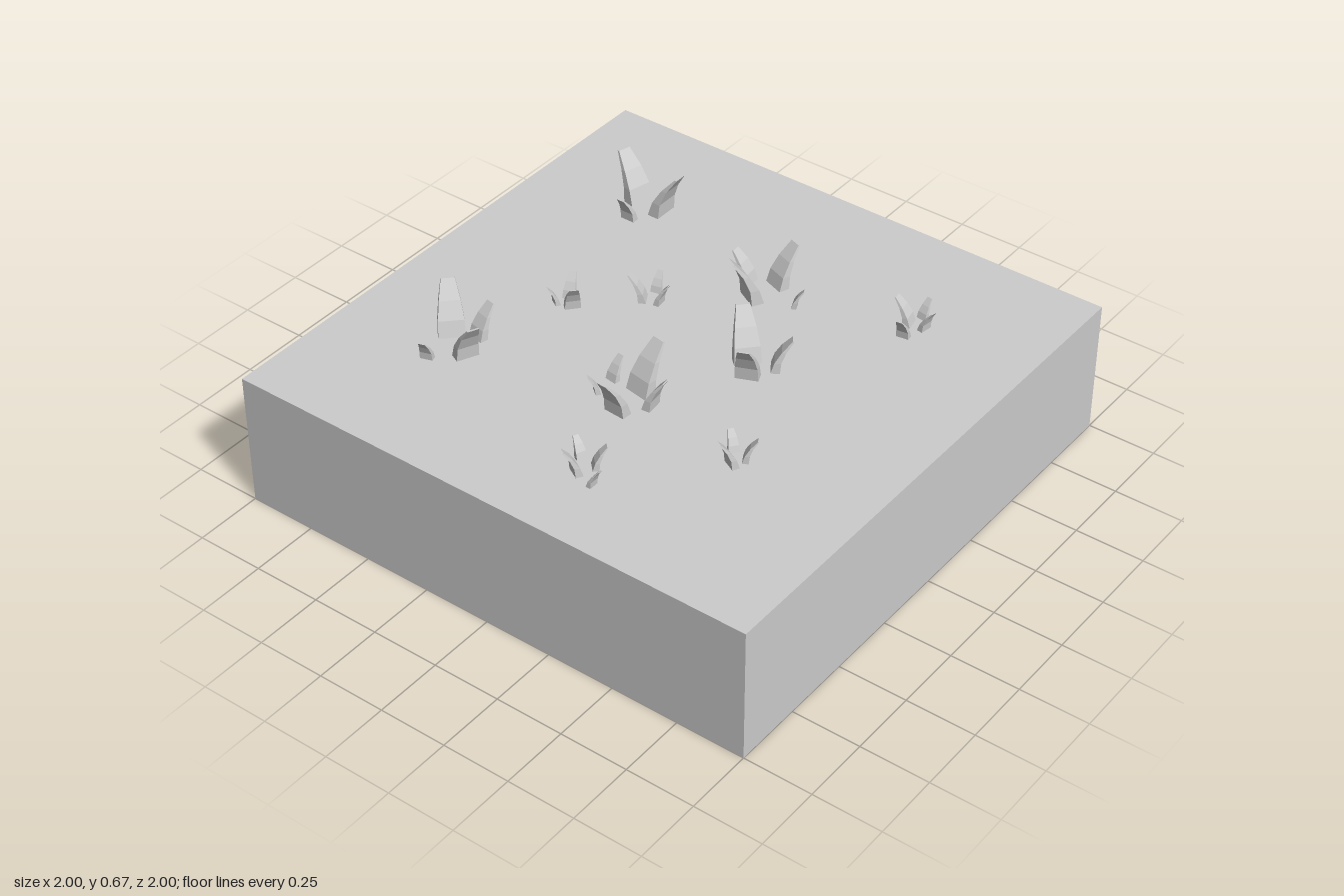
import * as THREE from 'three';

const TOP = 0.5;

// Blades sorted by size; each is [x, z, heading in degrees from +z towards +x]
const BLADES = [
  { name: 'tallBlade', height: 0.17, spots: [[-0.41, -0.62, 135], [0.575, -0.61, 166], [0.565, -0.505, 0],
    [-0.28, 0.06, 80], [0.345, 0.045, -119], [0.055, 0.235, 137]] },
  { name: 'largeBlade', height: 0.147, spots: [[-0.47, -0.51, -25], [-0.405, 0.065, -94],
    [0.455, 0.07, 70], [-0.01, 0.285, -67]] },
  { name: 'mediumBlade', height: 0.118, spots: [[-0.37, -0.54, 77], [-0.32, 0.13, 6],
    [0.41, -0.015, -174], [0.08, 0.33, 34]] },
  { name: 'smallBlade', height: 0.1, spots: [[0.465, -0.565, -90], [-0.055, -0.4, -41], [0.12, -0.24, -150],
    [-0.72, 0.15, -120], [-0.4, 0.51, -117], [0.54, 0.54, -168]] },
  { name: 'shortBlade', height: 0.082, spots: [[-0.555, -0.6, -72], [-0.02, -0.44, 108], [0.135, -0.185, 8],
    [-0.285, -0.05, 82], [-0.665, 0.18, 45], [-0.355, 0.53, 30], [0.47, 0.565, -82], [0.545, 0.595, -8]] },
  { name: 'tinyBlade', height: 0.068, spots: [[-0.07, -0.455, -121], [0.18, -0.23, 101], [-0.365, -0.05, -129],
    [0.39, 0.185, 25], [-0.655, 0.115, 158], [-0.74, 0.225, 0], [-0.345, 0.475, 143], [0.59, 0.56, 81]] },
];

// A blunt, tapered blade that bows outward along its local +z
function bladeGeometry(height) {
  const geo = new THREE.BoxGeometry(1, 1, 1, 1, 3, 1);
  const p = geo.attributes.position;
  for (let i = 0; i < p.count; i++) {
    const t = p.getY(i) + 0.5;
    const width = height * (0.54 - 0.27 * t * t);
    const depth = height * (0.26 - 0.21 * t);
    const bow = 0.48 * height * Math.pow(t, 1.8);
    p.setXYZ(i, p.getX(i) * width, t * height, p.getZ(i) * depth + bow);
  }
  geo.computeVertexNormals();
  return geo;
}

export function createModel() {
  const model = new THREE.Group();
  model.name = 'grassTile';
  const material = new THREE.MeshStandardMaterial({ color: 0xcccccc, flatShading: true });

  // Ground block
  const block = new THREE.Mesh(new THREE.BoxGeometry(2, TOP, 2), material);
  block.name = 'groundBlock';
  block.position.y = TOP / 2;
  model.add(block);

  // Grass blades, one shared geometry per size
  for (const { name, height, spots } of BLADES) {
    const geometry = bladeGeometry(height);
    for (const [x, z, heading] of spots) {
      const blade = new THREE.Mesh(geometry, material);
      blade.name = name;
      blade.position.set(x, TOP, z);
      blade.rotation.y = THREE.MathUtils.degToRad(heading);
      model.add(blade);
    }
  }
  return model;
}
